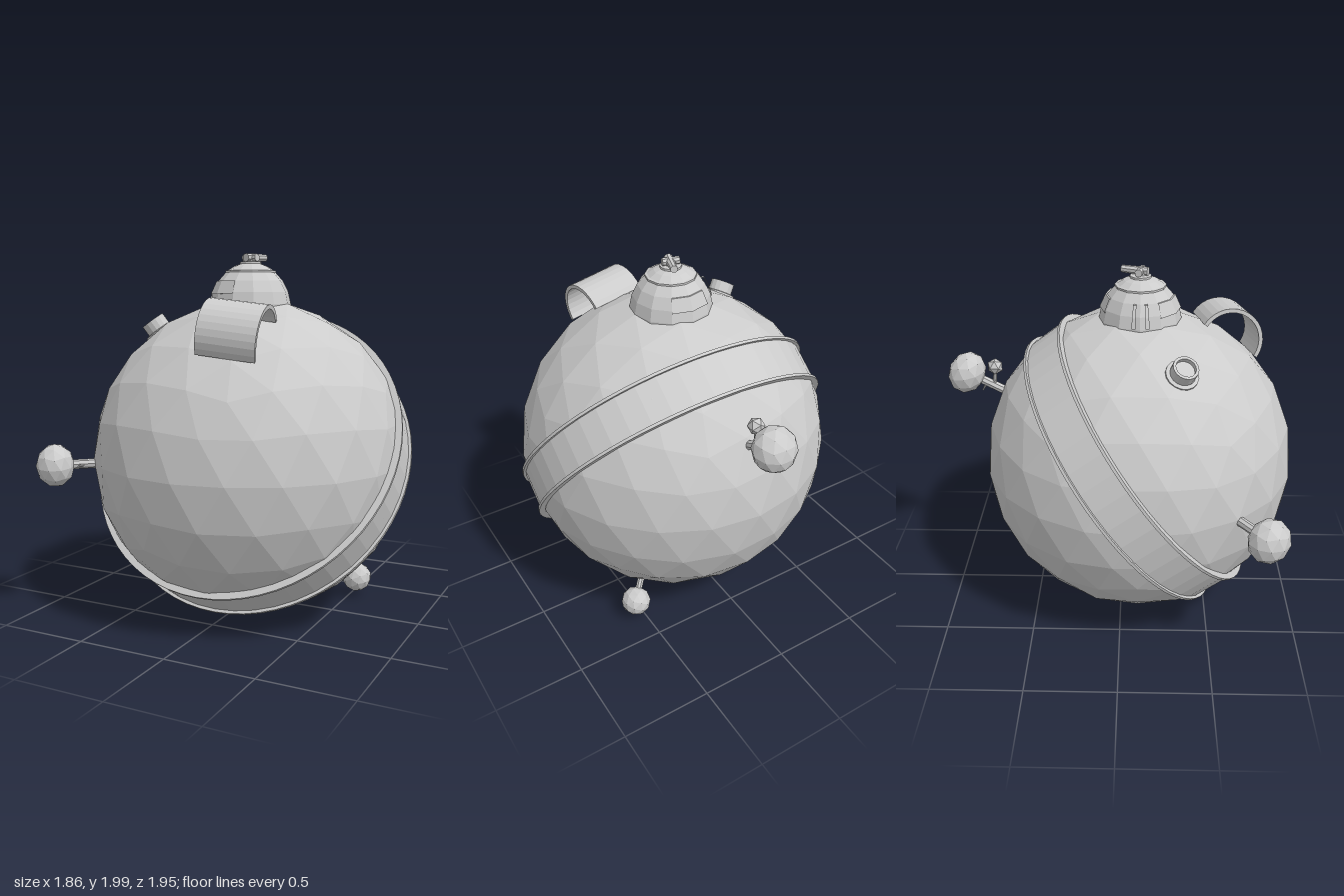
import * as THREE from 'three';

const V = (x, y, z) => new THREE.Vector3(x, y, z);
const UP = V(0, 1, 0);
const CENTER = V(0.035, 0.88, 0.1);
const R = 0.875;
const flat = new THREE.MeshStandardMaterial({ color: 0xcccccc, flatShading: true, side: THREE.DoubleSide });

export function createModel() {
  const model = new THREE.Group();

  const add = (name, geometry, parent = model) => {
    const mesh = new THREE.Mesh(geometry, flat);
    mesh.name = name;
    parent.add(mesh);
    return mesh;
  };
  const group = (name, position, axis = UP) => {
    const g = new THREE.Group();
    g.name = name;
    g.position.copy(position);
    g.quaternion.setFromUnitVectors(UP, axis.clone().normalize());
    model.add(g);
    return g;
  };
  const lathe = (points, sides, start = 0, sweep = Math.PI * 2) =>
    new THREE.LatheGeometry(points.map(([r, y]) => new THREE.Vector2(r, y)), sides, start, sweep);
  // Round bar between two points
  const rod = (name, a, b, r0, r1 = r0, parent = model) => {
    const d = b.clone().sub(a);
    const mesh = add(name, new THREE.CylinderGeometry(r1, r0, d.length(), 8), parent);
    mesh.position.copy(a).addScaledVector(d, 0.5);
    mesh.quaternion.setFromUnitVectors(UP, d.normalize());
    return mesh;
  };

  // Faceted body with a vertex at each pole
  const body = add('body', new THREE.IcosahedronGeometry(R, 3).rotateZ(-Math.atan(2 / (1 + Math.sqrt(5)))));
  body.position.copy(CENTER);

  // Tilted belt with a flange along each edge
  const belt = group('belt', CENTER, V(0, 0.6, 0.8));
  add('beltBand', lathe([[0.876, -0.116], [0.876, 0.116]], 48), belt);
  for (const s of [-1, 1]) {
    const y = s * 0.116, t = 0.008;
    add('beltFlange', lathe([[0.855, y - t], [0.892, y - t], [0.892, y + t], [0.855, y + t]], 64), belt);
  }

  // Turret dome with a lipped cap
  const turret = group('turret', V(0.035, 0, 0.1));
  add('dome', lathe([[0.222, 1.66], [0.222, 1.725], [0.208, 1.79], [0.178, 1.85], [0.138, 1.895],
    [0.138, 1.905], [0.125, 1.908], [0.09, 1.93], [0.05, 1.945], [0, 1.947]], 12), turret);
  // Raised plates following the dome facets: front window, back window, side flap
  const deg = Math.PI / 180;
  for (const [name, from, to] of [['frontWindow', -60, 0], ['backWindow', 150, 210]]) {
    add(name, lathe([[0.2, 1.78], [0.219, 1.78], [0.187, 1.85], [0.17, 1.85]], 2, from * deg, (to - from) * deg), turret);
  }
  for (const a of [-101, -83]) {
    const g = lathe([[0.2, 1.735], [0.236, 1.735], [0.222, 1.79], [0.19, 1.85], [0.17, 1.85]], 1, a * deg, 5 * deg);
    add('sideRib', g, turret);
  }
  // Nozzle on the cap
  add('nozzleBase', lathe([[0.058, 1.935], [0.058, 1.953], [0.03, 1.956], [0.03, 1.975], [0, 1.975]], 12), turret);
  rod('nozzleCrossbar', V(-0.045, 1.975, -0.012), V(0.045, 1.975, 0.012), 0.021, 0.021, turret);
  rod('nozzle', V(-0.01, 1.975, 0.04), V(0.04, 1.977, -0.1), 0.024, 0.02, turret);

  // Half-round hood, open at both ends
  const arch = new THREE.Shape();
  arch.absarc(0, 0, 0.18, 0, Math.PI, false);
  arch.lineTo(-0.158, 0);
  arch.absarc(0, 0, 0.158, Math.PI, 0, true);
  const hood = add('hood', new THREE.ExtrudeGeometry(arch, { depth: 0.31, bevelEnabled: false, curveSegments: 8 })
    .translate(0, 0, -0.155));
  const axis = V(0.3, -0.035, -0.045).normalize();
  const side = V(0, 0.83, 0.55).cross(axis).normalize();
  hood.quaternion.setFromRotationMatrix(new THREE.Matrix4().makeBasis(side, axis.clone().cross(side), axis));
  hood.position.set(0.19, 1.565, 0.575);

  // Short round port on the shoulder
  const portDir = V(-0.47, 0.72, 0.22).normalize();
  const port = group('port', CENTER.clone().addScaledVector(portDir, 0.845), portDir);
  add('portRim', lathe([[0.088, -0.02], [0.088, 0.022], [0.068, 0.026], [0.068, 0.085],
    [0.053, 0.085], [0.053, 0.06], [0, 0.06]], 16), port);

  // Ball-ended probes standing out of the body
  const probe = (name, at, radius, squash, rodRadius) => {
    const dir = at.clone().sub(CENTER);
    const length = dir.length();
    const g = group(name, CENTER, dir);
    const ball = add(name + 'Ball', new THREE.IcosahedronGeometry(radius, 1), g);
    ball.position.y = length;
    ball.scale.y = squash;
    rod(name + 'Rod', V(0, R - 0.06, 0), V(0, length - radius * 0.6, 0), rodRadius, rodRadius, g);
  };
  probe('sideProbe', V(-0.825, 0.86, 0.755), 0.119, 0.87, 0.026);
  probe('backProbe', V(0.05, 1.38, -0.87), 0.12, 0.85, 0.026);
  probe('lowerProbe', V(0.54, 0.115, -0.305), 0.085, 0.97, 0.02);

  // Small fittings on the probe rods
  rod('sideSpike', V(-0.7, 0.86, 0.66), V(-0.69, 0.86, 0.735), 0.01, 0.004);
  rod('backSpike', V(0.05, 1.34, -0.75), V(0.05, 1.27, -0.79), 0.01, 0.004);
  rod('backStem', V(0.045, 1.3, -0.72), V(0.045, 1.4, -0.71), 0.011);
  const bead = add('backBead', new THREE.IcosahedronGeometry(0.046, 0));
  bead.position.set(0.045, 1.418, -0.71);
  return model;
}
